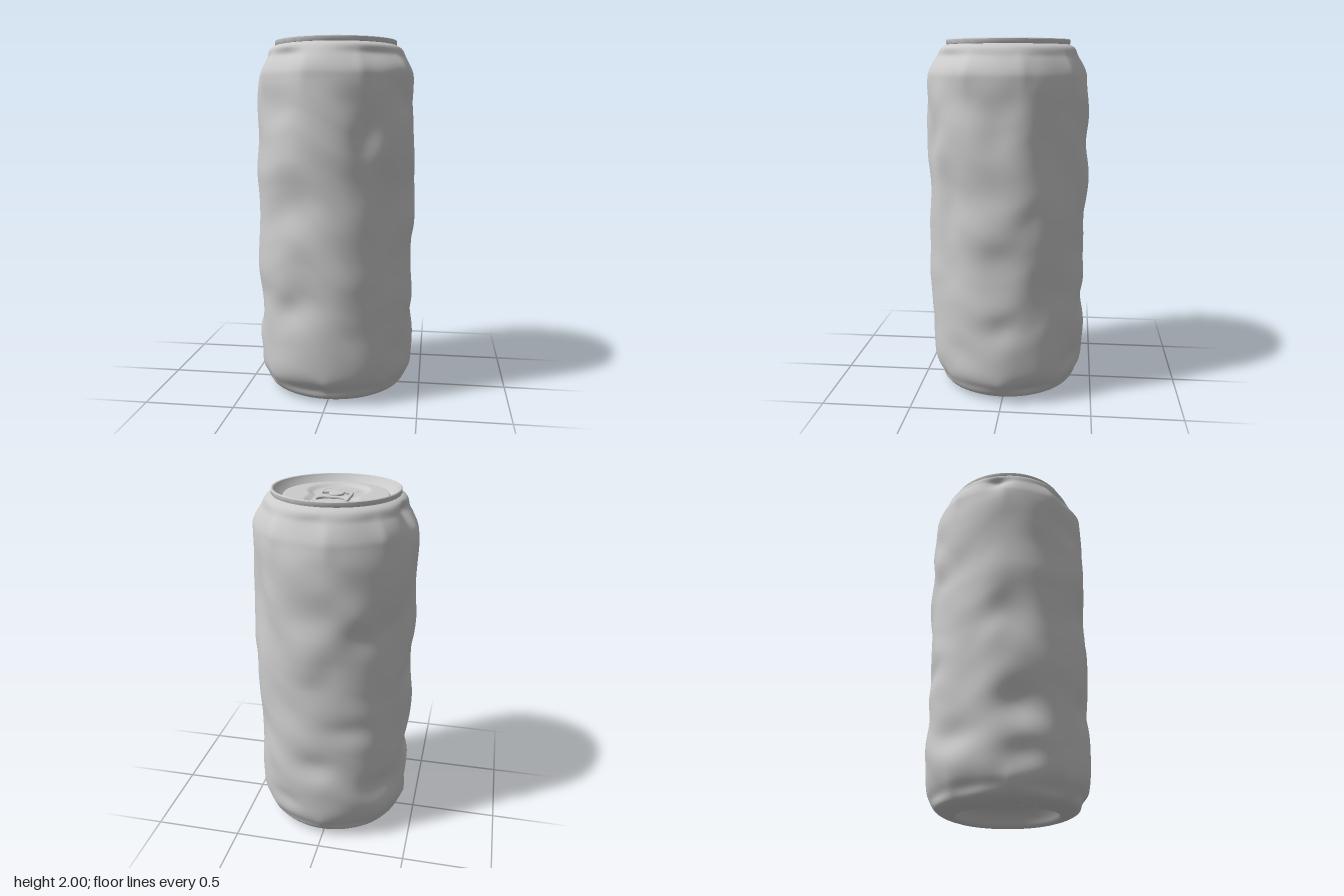
import * as THREE from 'three';
import { mergeVertices, toCreasedNormals } from 'three/addons/utils/BufferGeometryUtils.js';

const { smoothstep, degToRad, euclideanModulo } = THREE.MathUtils;
const v2 = (pairs) => pairs.map(([x, y]) => new THREE.Vector2(x, y));
const bump = (distance, width) => Math.exp(-((distance / width) ** 2));

// Repeatable lattice noise that wraps around the can
function lattice(i, j) {
  const s = Math.sin(i * 127.1 + j * 311.7) * 43758.5453;
  return s - Math.floor(s);
}
function noise(turn, y, cells, rows) {
  const u = euclideanModulo(turn, 1) * cells, v = y * rows;
  const i = Math.floor(u), j = Math.floor(v);
  const a = smoothstep(u - i, 0, 1), b = smoothstep(v - j, 0, 1);
  const at = (p, q) => lattice((i + p) % cells, j + q + cells);
  return (at(0, 0) * (1 - a) + at(1, 0) * a) * (1 - b) + (at(0, 1) * (1 - a) + at(1, 1) * a) * b;
}

// Depth of the flat sides of a polygon inside the round wall
function facet(angle, sides) {
  const half = Math.PI / sides;
  return 0.46 * (1 - Math.cos(half) / Math.cos(euclideanModulo(angle, 2 * half) - half));
}

// Dents: angle from the front in degrees, height, half width, half height, depth
const DENTS = [
  [-40, 1.65, 0.13, 0.12, 0.022], [28, 1.42, 0.08, 0.16, 0.02], [48, 1.1, 0.08, 0.2, 0.018],
  [-25, 0.55, 0.15, 0.1, 0.022], [-20, 1.12, 0.14, 0.1, 0.012], [-88, 1.02, 0.12, 0.14, 0.035],
  [-85, 0.5, 0.14, 0.12, 0.045], [-80, 0.24, 0.12, 0.08, 0.025], [88, 1.5, 0.1, 0.14, 0.02],
  [88, 0.85, 0.12, 0.1, 0.016], [92, 0.45, 0.1, 0.08, 0.018], [125, 1.5, 0.1, 0.2, 0.025],
  [50, 0.8, 0.13, 0.11, 0.018], [175, 0.5, 0.12, 0.09, 0.025], [-150, 1.3, 0.15, 0.1, 0.02],
  [-160, 0.75, 0.16, 0.08, 0.018], [-130, 0.35, 0.14, 0.08, 0.022], [150, 0.22, 0.12, 0.07, 0.018],
  [-100, 1.92, 0.08, 0.09, 0.05], [50, 1.92, 0.2, 0.06, 0.018], [-38, 1.92, 0.18, 0.06, 0.012],
  [0, 0.06, 0.16, 0.05, 0.015], [-55, 0.07, 0.08, 0.06, 0.012], [110, 0.07, 0.12, 0.05, 0.012],
];

function dentDepth(angle, y) {
  const turn = angle / (2 * Math.PI) + 0.05 * y;
  const slanted = y + 0.05 * Math.sin(2 * angle) + 0.04 * Math.sin(5 * angle) + 1;
  let depth = 0.022 * noise(turn, slanted, 11, 4.5) + 0.014 * noise(turn, slanted, 17, 7);
  depth += facet(angle + 0.25, 9) * 0.55 * bump(y - 1.83, 0.1) + facet(angle, 8) * 0.35 * bump(y - 0.09, 0.06);
  for (const [deg, h, w, t, d] of DENTS) {
    const a = euclideanModulo(angle - degToRad(deg) + Math.PI, 2 * Math.PI) - Math.PI;
    depth += d * bump(a * 0.45, w) * bump(y - h, t);
  }
  return depth * smoothstep(y, 0.012, 0.09) * (1 - smoothstep(y, 1.9, 1.968));
}

// Smoothed lathe wall pushed inwards by the dents
function crumpledWall() {
  const profile = new THREE.SplineCurve(v2([
    [0.315, 0.004], [0.35, 0.015], [0.402, 0.045], [0.442, 0.095], [0.46, 0.17], [0.467, 0.4], [0.469, 0.8],
    [0.469, 1.2], [0.47, 1.6], [0.47, 1.77], [0.463, 1.83], [0.428, 1.895], [0.38, 1.95], [0.34, 1.972],
  ])).getSpacedPoints(170);
  let geo = new THREE.LatheGeometry(profile, 144);
  geo.deleteAttribute('uv');
  geo.deleteAttribute('normal');
  const p = geo.attributes.position;
  for (let i = 0; i < p.count; i++) {
    const x = p.getX(i), y = p.getY(i), z = p.getZ(i), r = Math.hypot(x, z);
    const k = (r - dentDepth(Math.atan2(x, z), y)) / r;
    p.setXYZ(i, x * k, y, z * k);
  }
  geo = mergeVertices(geo, 1e-5);
  geo.computeVertexNormals();
  return geo;
}

// Lid panel with a sunken figure-eight area
function lidPanel() {
  const rows = Array.from({ length: 71 }, (_, i) => new THREE.Vector2(0.275 * (1 - i / 70), 0));
  const geo = new THREE.LatheGeometry(rows, 128);
  const p = geo.attributes.position;
  for (let i = 0; i < p.count; i++) {
    const x = p.getX(i), z = p.getZ(i);
    const a = Math.hypot(x, z + 0.125) - 0.147, b = Math.hypot(x, z - 0.075) - 0.177;
    const h = Math.max(0.07 - Math.abs(a - b), 0) / 0.07;
    const edge = Math.min(a, b) - h * h * 0.0175;
    p.setY(i, 1.965 - 0.016 * smoothstep(-edge, 0, 0.045));
  }
  geo.computeVertexNormals();
  return geo;
}

// Rounded outline between two z limits, with its own corner radius at each end
function roundedOutline(target, w, z0, z1, r0, r1) {
  target.moveTo(-w + r0, z0);
  target.lineTo(w - r0, z0);
  target.absarc(w - r0, z0 + r0, r0, -Math.PI / 2, 0, false);
  target.absarc(w - r1, z1 - r1, r1, 0, Math.PI / 2, false);
  target.absarc(-w + r1, z1 - r1, r1, Math.PI / 2, Math.PI, false);
  target.absarc(-w + r0, z0 + r0, r0, Math.PI, Math.PI * 1.5, false);
  return target;
}

// Pull tab with a finger hole and a curved slot around the rivet
function pullTab() {
  const shape = roundedOutline(new THREE.Shape(), 0.088, -0.198, 0.085, 0.065, 0.087);
  shape.holes.push(roundedOutline(new THREE.Path(), 0.077, -0.19, -0.086, 0.05, 0.05));
  const slot = new THREE.Path();
  slot.moveTo(-0.076, 0.024);
  slot.lineTo(-0.076, 0);
  slot.absarc(0, 0, 0.076, Math.PI, Math.PI * 2, false);
  slot.lineTo(0.076, 0.024);
  slot.lineTo(0.036, 0.03);
  slot.lineTo(0.036, 0);
  slot.absarc(0, 0, 0.036, 0, -Math.PI, true);
  slot.lineTo(-0.036, 0.03);
  slot.closePath();
  shape.holes.push(slot);
  const geo = new THREE.ExtrudeGeometry(shape, {
    depth: 0.005, bevelThickness: 0.004, bevelSize: 0.004, bevelSegments: 3, curveSegments: 20,
  });
  geo.rotateX(Math.PI / 2);
  return toCreasedNormals(geo, 0.6);
}

export function createModel() {
  const can = new THREE.Group();
  can.name = 'crushedCan';
  const metal = new THREE.MeshStandardMaterial({ color: 0xcccccc, side: THREE.DoubleSide });
  const add = (name, geo, y = 0) => {
    const mesh = new THREE.Mesh(geo, metal);
    mesh.name = name;
    mesh.position.y = y;
    can.add(mesh);
  };
  const turned = (pairs) => toCreasedNormals(new THREE.LatheGeometry(v2(pairs), 96), 0.55);

  add('body', crumpledWall());

  // Domed underside and the ring the can stands on
  add('base', turned([
    [0, 0.13], [0.06, 0.127], [0.12, 0.117], [0.18, 0.099], [0.225, 0.077], [0.255, 0.05],
    [0.268, 0.022], [0.278, 0.007], [0.291, 0], [0.305, 0], [0.315, 0.004],
  ]));

  // Rolled rim, sloping inner wall and groove around the lid
  add('rim', turned([
    [0.335, 1.97], [0.343, 1.972], [0.346, 1.977], [0.346, 1.996], [0.343, 1.999], [0.338, 2],
    [0.332, 1.997], [0.328, 1.988], [0.295, 1.951], [0.29, 1.947], [0.285, 1.947],
    [0.283, 1.957], [0.28, 1.964], [0.275, 1.965],
  ]));
  add('lidPanel', lidPanel());

  // Raised line around the drinking opening
  const mouth = new THREE.CatmullRomCurve3([
    [-0.075, 0.075], [0.075, 0.075], [0.096, 0.11], [0.084, 0.15], [0.045, 0.18],
    [0, 0.187], [-0.045, 0.18], [-0.084, 0.15], [-0.096, 0.11],
  ].map(([x, z]) => new THREE.Vector3(x, 0, z)), true);
  add('mouthOutline', new THREE.TubeGeometry(mouth, 90, 0.0025, 8, true), 1.948);

  add('pullTab', pullTab(), 1.962);

  // Low rivet that holds the tab
  add('rivet', turned([[0.034, 1.948], [0.032, 1.954], [0.028, 1.957], [0.018, 1.959], [0, 1.96]]));
  return can;
}
